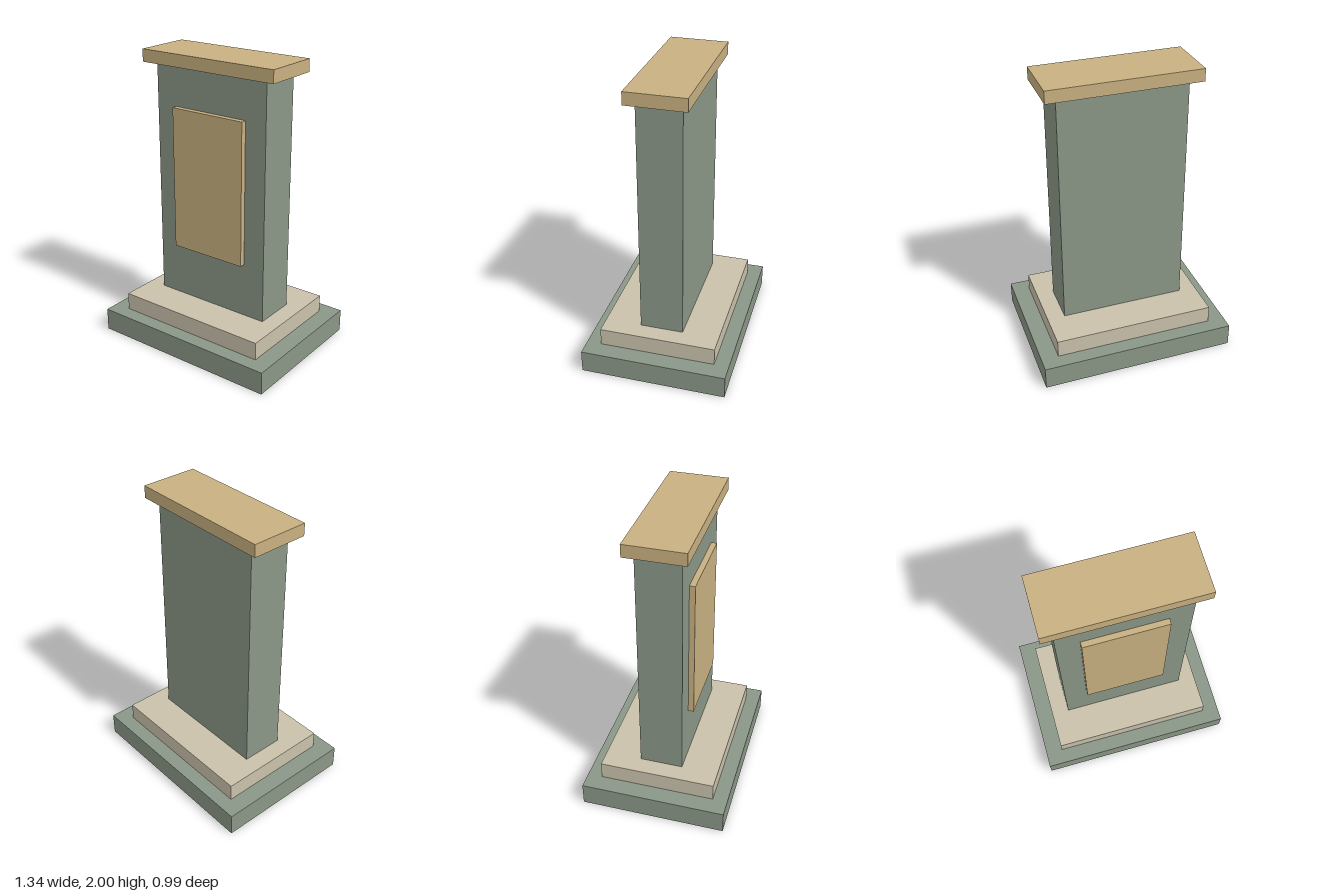
import * as THREE from 'three';

const material = (name, color) => {
  const m = new THREE.MeshStandardMaterial({ color });
  m.name = name;
  return m;
};

export function createModel() {
  const group = new THREE.Group();
  group.name = 'monument';

  const green = material('grey green stone', 0x8a9787);
  const sand = material('pale sand stone', 0xc9c1ab);
  const gold = material('muted gold', 0xc8b080);

  // Block given by its width, its bottom and top heights, and its back and front
  const block = (name, mat, width, bottom, top, back, front) => {
    const mesh = new THREE.Mesh(new THREE.BoxGeometry(width, top - bottom, front - back), mat);
    mesh.position.set(0, (bottom + top) / 2, (back + front) / 2);
    mesh.name = name;
    group.add(mesh);
  };

  // Stepped foot
  block('base', green, 1.342, 0, 0.158, -0.496, 0.496);
  block('step', sand, 1.106, 0.158, 0.28, -0.396, 0.396);

  // Upright slab with its cap
  block('slab', green, 0.864, 0.28, 1.915, -0.147, 0.147);
  block('cap', gold, 1.024, 1.915, 2, -0.198, 0.198);

  // Raised plaque on the front
  block('plaque', gold, 0.556, 0.657, 1.642, 0.147, 0.185);

  return group;
}
